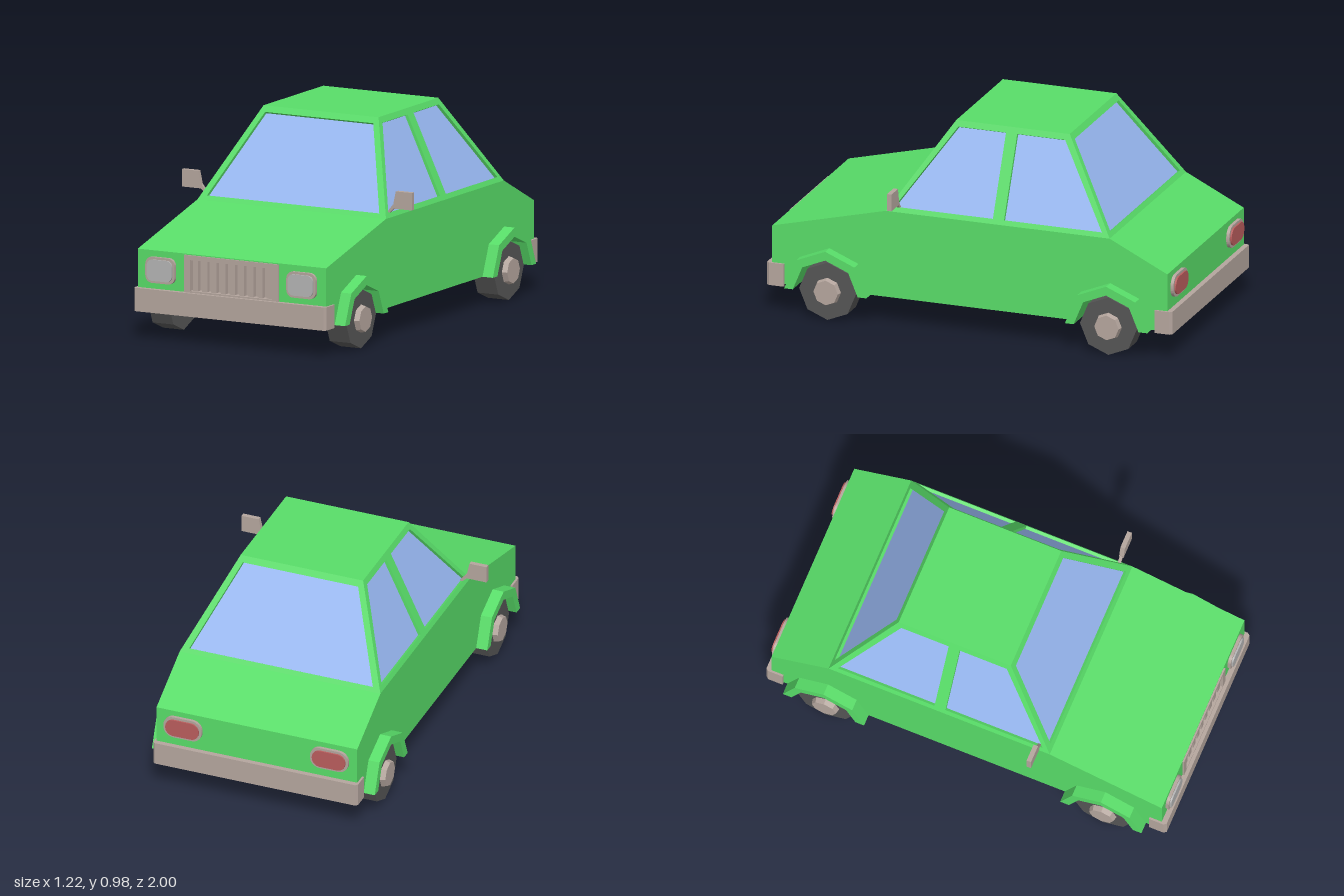
import * as THREE from 'three';

const mat = (color) => new THREE.MeshStandardMaterial({ color, flatShading: true, side: THREE.DoubleSide });
const paint = mat(0x58dc68);
const trim = mat(0xb4a59d);
const glass = mat(0x98b8f2);
const rubber = mat(0x555555);
const lens = mat(0xb4b4b4);
const red = mat(0xb85c5c);

const toShape = (pts) => new THREE.Shape(pts.map(([x, y]) => new THREE.Vector2(x, y)));

const extrude = (shape, depth) =>
  new THREE.ExtrudeGeometry(shape, { depth, bevelEnabled: false, curveSegments: 4 });

function add(parent, name, geometry, material, x = 0, y = 0, z = 0) {
  const mesh = new THREE.Mesh(geometry, material);
  mesh.name = name;
  mesh.position.set(x, y, z);
  parent.add(mesh);
  return mesh;
}

// Extrudes a (z, y) outline across the car from x0 to x1
function slab(parent, name, pts, x0, x1, material) {
  const mesh = add(parent, name, extrude(toShape(pts), x1 - x0), material, x1);
  mesh.rotation.y = -Math.PI / 2;
  return mesh;
}

function roundedRect(w, h, r) {
  const s = new THREE.Shape();
  const a = w / 2 - r, b = h / 2 - r;
  s.absarc(a, b, r, 0, Math.PI / 2);
  s.absarc(-a, b, r, Math.PI / 2, Math.PI);
  s.absarc(-a, -b, r, Math.PI, Math.PI * 1.5);
  s.absarc(a, -b, r, Math.PI * 1.5, Math.PI * 2);
  s.closePath();
  return s;
}

const WHEEL_Z = 0.693, AXLE_Y = 0.14, SILL = 0.14, BELT = 0.56, ROOF = 0.975;

// Upper half of an octagon around a wheel, from front to back
const halfOctagon = (cz, r) => Array.from({ length: 5 }, (_, i) => {
  const a = (i * Math.PI) / 4;
  return [cz + r * Math.cos(a), AXLE_Y + r * Math.sin(a)];
});

function buildBody(car) {
  const top = [[0.975, 0.42], [0.415, BELT], [-0.69, BELT], [-0.975, 0.42], [-0.975, SILL]];
  const nose = [0.975, SILL];
  const grilleNotch = [[0.975, 0.245], [0.945, 0.245], [0.945, 0.395], [0.975, 0.395]];
  slab(car, 'bodyCentre', [nose, ...grilleNotch, ...top], -0.22, 0.22, paint);
  // Outer slabs carry the wheel wells
  const wells = [...halfOctagon(-WHEEL_Z, 0.16).reverse(), ...halfOctagon(WHEEL_Z, 0.16).reverse()];
  for (const s of [-1, 1]) {
    const span = (a, b) => (s > 0 ? [a, b] : [-b, -a]);
    slab(car, 'bodyInner', [nose, ...top], ...span(0.22, 0.38), paint);
    slab(car, 'bodySide', [nose, ...top, ...wells], ...span(0.38, 0.5), paint);
    for (const z of [WHEEL_Z, -WHEEL_Z]) {
      const ring = [...halfOctagon(z, 0.203), ...halfOctagon(z, 0.16).reverse()];
      slab(car, 'wheelArch', ring, ...span(0.49, 0.555), paint);
    }
  }
}

// One sloping cabin wall: outline and window openings as (across, height) points
function cabinWall(car, name, yaw, dist, run, outline, windows) {
  const rise = ROOF - BELT;
  const k = Math.hypot(run, rise) / rise;
  const flat = (pts) => pts.map(([h, y]) => [h, (y - BELT) * k]);
  const wall = new THREE.Group();
  wall.name = name;
  wall.rotation.set(-Math.atan2(run, rise), yaw, 0, 'YXZ');
  wall.position.set(Math.sin(yaw) * dist, BELT, Math.cos(yaw) * dist);
  const shape = toShape(flat(outline));
  for (const w of windows) {
    shape.holes.push(toShape(flat(w)));
    add(wall, 'windowGlass', new THREE.ShapeGeometry(toShape(flat(w))), glass, 0, 0, -0.015);
  }
  add(wall, 'windowFrame', extrude(shape, 0.02), paint, 0, 0, -0.02);
  car.add(wall);
}

function buildCabin(car) {
  const endOutline = [[-0.5, BELT], [0.5, BELT], [0.305, ROOF], [-0.305, ROOF]];
  const endWindow = [[-0.457, 0.58], [0.457, 0.58], [0.287, 0.948], [-0.287, 0.948]];
  cabinWall(car, 'windscreenWall', 0, 0.415, 0.275, endOutline, [endWindow]);
  cabinWall(car, 'rearWindowWall', Math.PI, 0.69, 0.27, endOutline, [endWindow]);
  const side = [[-0.415, BELT], [0.69, BELT], [0.42, ROOF], [-0.14, ROOF]];
  const frontPane = [[-0.375, 0.582], [0.11, 0.582], [0.11, 0.948], [-0.125, 0.948]];
  const rearPane = [[0.165, 0.582], [0.648, 0.582], [0.402, 0.948], [0.165, 0.948]];
  for (const s of [-1, 1]) {
    const flip = (pts) => pts.map(([h, y]) => [h * s, y]);
    cabinWall(car, 'sideWindowWall', (s * Math.PI) / 2, 0.5, 0.195, flip(side), [flip(frontPane), flip(rearPane)]);
  }
  add(car, 'roof', new THREE.BoxGeometry(0.61, 0.02, 0.56), paint, 0, ROOF - 0.01, -0.14);
}

function buildWheels(car) {
  for (const s of [-1, 1]) {
    for (const z of [WHEEL_Z, -WHEEL_Z]) {
      const wheel = new THREE.Group();
      wheel.name = 'wheel';
      wheel.position.set(s * 0.47, AXLE_Y, z);
      wheel.rotation.z = (-s * Math.PI) / 2;
      add(wheel, 'tyre', new THREE.CylinderGeometry(0.14, 0.14, 0.11, 8), rubber);
      add(wheel, 'hubcap', new THREE.CylinderGeometry(0.06, 0.068, 0.03, 8), trim, 0, 0.065, 0);
      car.add(wheel);
    }
  }
}

function buildBumpers(car) {
  // U-shaped plan with chamfered corners, wrapping the body ends
  const plan = [[-0.51, 0.915], [-0.5, 0.915], [-0.5, 0.975], [0.5, 0.975], [0.5, 0.915],
    [0.51, 0.915], [0.51, 0.988], [0.5, 1], [-0.5, 1], [-0.51, 0.988]];
  for (const [name, s] of [['frontBumper', 1], ['rearBumper', -1]]) {
    const pts = plan.map(([x, z]) => [x, z * s]);
    const bumper = add(car, name, extrude(toShape(pts), 0.11), trim, 0, 0.24, 0);
    bumper.rotation.x = Math.PI / 2;
  }
}

function buildLights(car) {
  for (const s of [-1, 1]) {
    add(car, 'headlightRim', extrude(roundedRect(0.156, 0.122, 0.035), 0.025), trim, s * 0.374, 0.33, 0.965);
    add(car, 'headlightLens', extrude(roundedRect(0.132, 0.1, 0.028), 0.03), lens, s * 0.374, 0.33, 0.968);
    add(car, 'tailLightRim', extrude(roundedRect(0.19, 0.108, 0.05), 0.025), trim, s * 0.365, 0.34, -0.99);
    add(car, 'tailLightLens', extrude(roundedRect(0.165, 0.084, 0.04), 0.03), red, s * 0.365, 0.34, -0.998);
  }
}

function buildGrille(car) {
  const grille = new THREE.Group();
  grille.name = 'grille';
  const frame = toShape([[-0.25, 0.235], [0.25, 0.235], [0.25, 0.415], [-0.25, 0.415]]);
  frame.holes.push(toShape([[-0.218, 0.248], [0.218, 0.248], [0.218, 0.393], [-0.218, 0.393]]));
  add(grille, 'grilleFrame', extrude(frame, 0.037), trim, 0, 0, 0.946);
  add(grille, 'grilleBack', new THREE.BoxGeometry(0.436, 0.145, 0.004), trim, 0, 0.32, 0.948);
  for (let i = -4; i <= 4; i++) {
    add(grille, 'grilleSlat', new THREE.BoxGeometry(0.028, 0.145, 0.022), trim, i * 0.049, 0.32, 0.961);
  }
  car.add(grille);
}

function buildMirrors(car) {
  const head = [[0.507, 0.602], [0.61, 0.602], [0.61, 0.684], [0.525, 0.684]];
  const stalk = [[0.475, 0.58], [0.49, 0.58], [0.515, 0.605], [0.507, 0.62]];
  for (const s of [-1, 1]) {
    const flip = (pts) => toShape(pts.map(([x, y]) => [x * s, y]));
    add(car, 'mirrorHead', extrude(flip(head), 0.022), trim, 0, 0, 0.345);
    add(car, 'mirrorStalk', extrude(flip(stalk), 0.014), trim, 0, 0, 0.349);
  }
}

export function createModel() {
  const car = new THREE.Group();
  car.name = 'car';
  buildBody(car);
  buildCabin(car);
  buildWheels(car);
  buildBumpers(car);
  buildLights(car);
  buildGrille(car);
  buildMirrors(car);
  return car;
}
